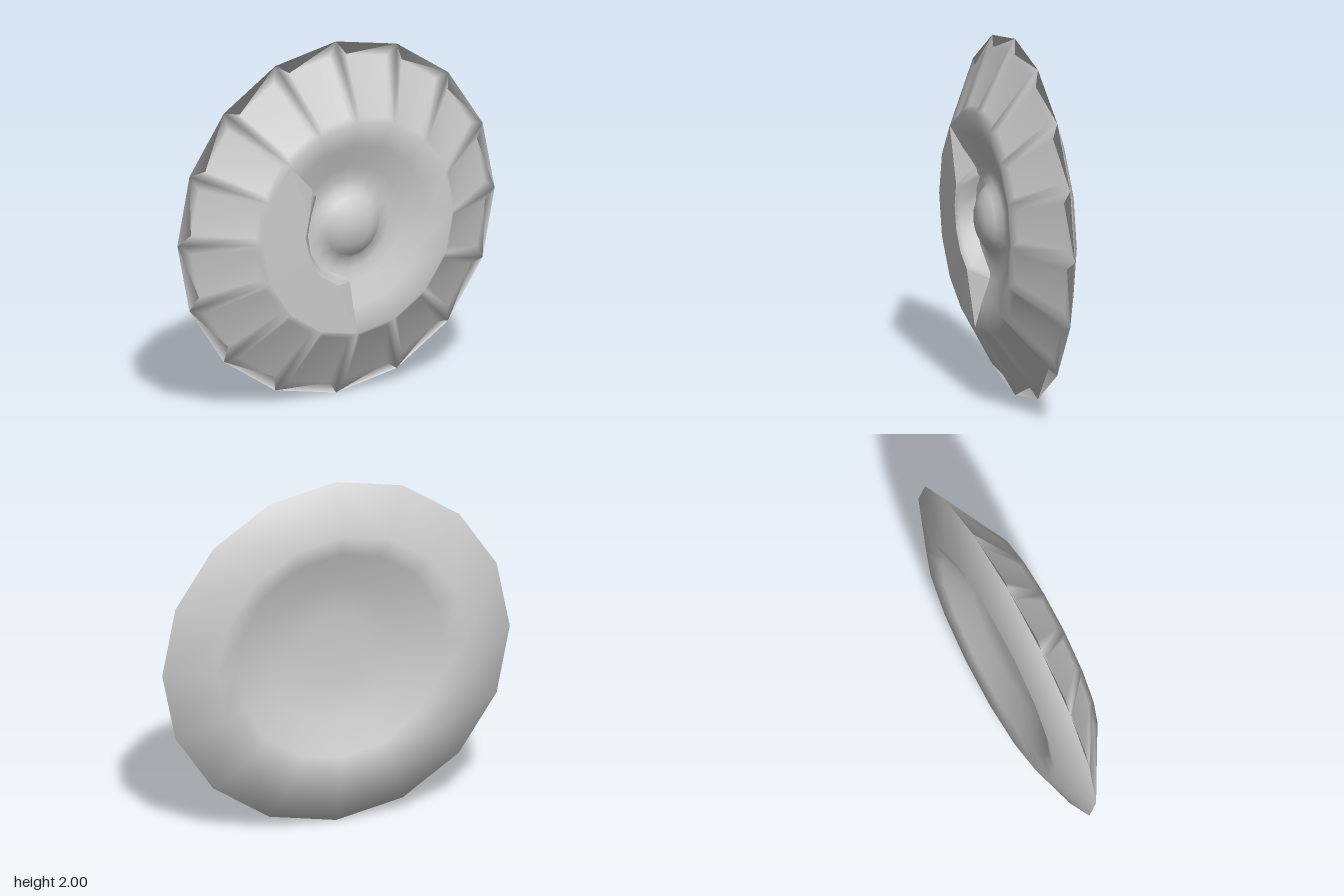
import * as THREE from 'three';

const SIDES = 16;
const STEP = (Math.PI * 2) / SIDES;
const at = (r, a, z) => [r * Math.cos(a), r * Math.sin(a), z];

// small indexed mesh builder
function builder() {
  const pos = [], idx = [];
  return {
    add: (p) => pos.push(...p) / 3 - 1,
    tri: (a, b, c) => idx.push(a, b, c),
    quad: (a, b, c, d) => idx.push(a, b, c, a, c, d),
    mesh(name, options = {}) {
      const g = new THREE.BufferGeometry();
      g.setAttribute('position', new THREE.Float32BufferAttribute(pos, 3));
      g.setIndex(idx);
      g.computeVertexNormals();
      const m = new THREE.Mesh(g, new THREE.MeshStandardMaterial({ color: 0xcccccc, ...options }));
      m.name = name;
      return m;
    },
  };
}

// disc body: rings run from the front boss over the rim to the hollow back
function makeDisc() {
  const b = builder();
  const profile = [
    [0.1, 0.142], [0.165, 0.105], [0.2, 0.07], [0.26, 0.065], [0.33, 0.08], [0.46, 0.125],
    [0.6, 0.165], [1, -0.063],
    [0.72, -0.17], [0.6, -0.14], [0.4, -0.06], [0.2, -0.045],
  ];
  const panelRow = 6;
  const rings = profile.map(([r, z]) =>
    Array.from({ length: SIDES }, (_, j) => b.add(at(r, j * STEP, z))));
  const front = b.add([0, 0, 0.155]), back = b.add([0, 0, -0.04]);

  for (let j = 0; j < SIDES; j++) {
    const k = (j + 1) % SIDES;
    b.tri(front, rings[0][j], rings[0][k]);
    const last = rings[rings.length - 1];
    b.tri(back, last[k], last[j]);
    for (let i = 0; i < rings.length - 1; i++) {
      const outer = [rings[i][j], rings[i + 1][j], rings[i + 1][k], rings[i][k]];
      if (i !== panelRow) { b.quad(...outer); continue; }
      // sunken trapezoid panel framed by raised ribs
      const corner = (t, s) => {
        const r = 0.6 + 0.4 * t, z = 0.165 - 0.228 * t;
        const p = at(r, j * STEP, z), q = at(r, (j + 1) * STEP, z);
        const mid = (j + 0.5) * STEP, sink = 0.014;
        return b.add([
          p[0] + (q[0] - p[0]) * s - Math.cos(mid) * sink * 0.5,
          p[1] + (q[1] - p[1]) * s - Math.sin(mid) * sink * 0.5,
          z - sink * 0.87,
        ]);
      };
      const inner = [corner(0.1, 0.15), corner(0.86, 0.15), corner(0.86, 0.85), corner(0.1, 0.85)];
      for (let e = 0; e < 4; e++) {
        const f = (e + 1) % 4;
        b.quad(outer[e], outer[f], inner[f], inner[e]);
      }
      b.quad(...inner);
    }
  }
  return b.mesh('disc');
}

// raised apron on the face: level in the middle, dropping to the bowl at both ends
const FIRST = 6, LAST = 12;
const lipHeight = (j) => (j === FIRST || j === LAST ? 0.082 : 0.17);

function makeApron() {
  const b = builder();
  const rows = [];
  for (let j = FIRST; j <= LAST; j++) {
    rows.push([b.add(at(0.6, j * STEP, 0.166)), b.add(at(0.33, j * STEP, lipHeight(j)))]);
  }
  for (let i = 0; i < rows.length - 1; i++) {
    const [o0, l0] = rows[i], [o1, l1] = rows[i + 1];
    // the split keeps a pointed fold at each end
    if (i === 0) { b.tri(l0, o0, l1); b.tri(o0, o1, l1); }
    else { b.tri(l0, o0, o1); b.tri(l0, o1, l1); }
  }
  return b.mesh('raisedApron', { flatShading: true, side: THREE.DoubleSide });
}

// curved inner wall of the apron, facing the boss
function makeWall() {
  const b = builder();
  const rows = [];
  for (let j = FIRST; j <= LAST; j++) {
    const h = lipHeight(j);
    rows.push([[0.33, h], [0.305, h - 0.02], [0.275, 0.06]].map(([r, z]) => b.add(at(r, j * STEP, z))));
  }
  for (let i = 0; i < rows.length - 1; i++) {
    for (let n = 0; n < 2; n++) {
      b.quad(rows[i][n + 1], rows[i][n], rows[i + 1][n], rows[i + 1][n + 1]);
    }
  }
  return b.mesh('crescentWall', { side: THREE.DoubleSide });
}

export function createModel() {
  const group = new THREE.Group();
  group.name = 'ribbedDisc';
  for (const part of [makeDisc(), makeApron(), makeWall()]) {
    part.position.y = 1;
    group.add(part);
  }
  return group;
}
